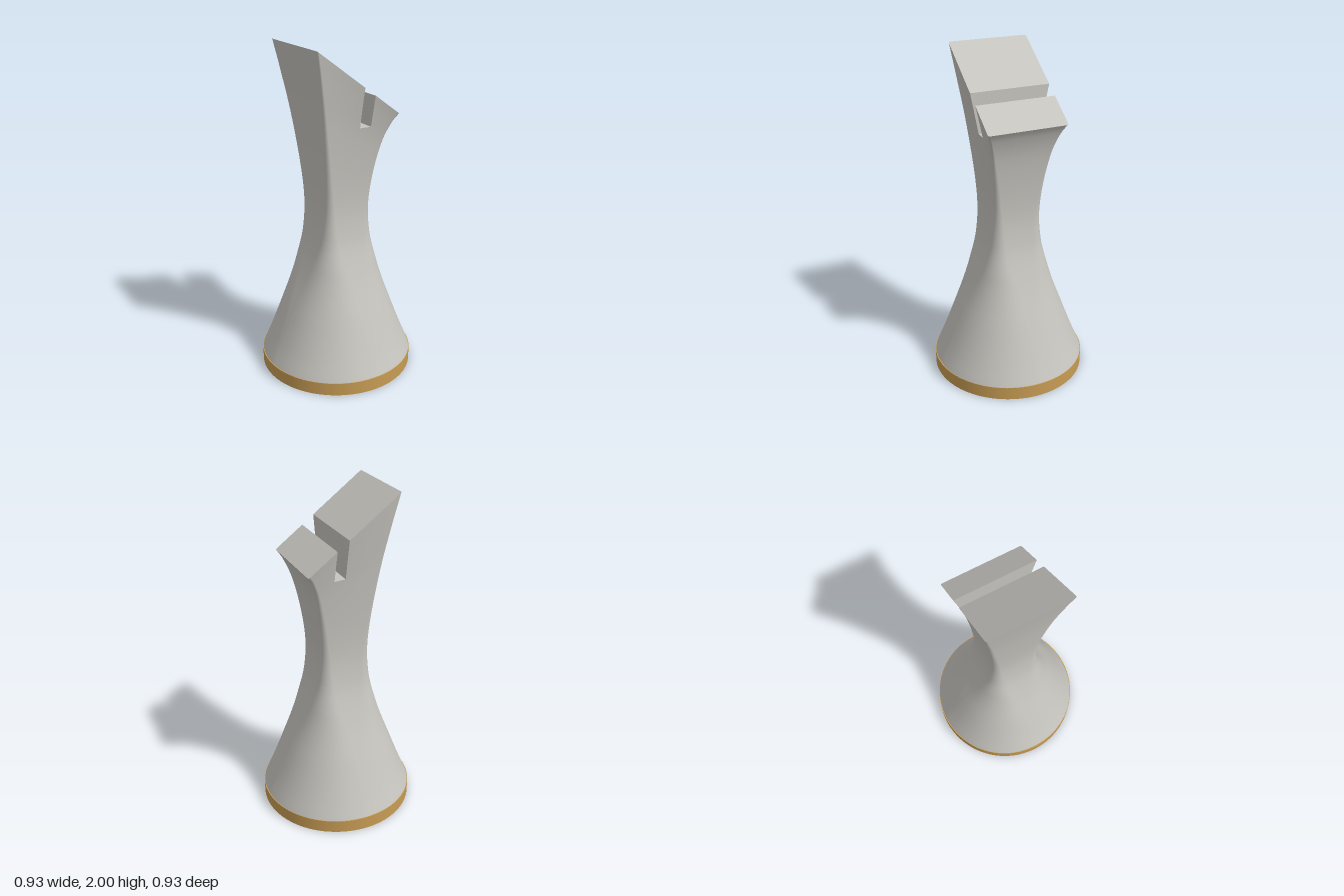
import * as THREE from 'three';

const SLOT = { x0: 0.032, x1: 0.102, y: 1.54 };
const TOP_X = 0.27, RISE = 0.2;

// Profile points: height, half width, half depth
const profile = new THREE.CatmullRomCurve3([
  [0.08, 0.459, 0.459], [0.2, 0.407, 0.407], [0.4, 0.327, 0.327], [0.6, 0.246, 0.246],
  [0.8, 0.18, 0.18], [0.9, 0.161, 0.161], [1.03, 0.15, 0.15], [1.2, 0.157, 0.155],
  [1.5, 0.196, 0.188], [1.7, 0.241, 0.223], [1.8, 0.27, 0.243],
].map(p => new THREE.Vector3(...p)));

// Corner roundness by height: round foot to almost square head
const roundness = new THREE.CatmullRomCurve3([
  [0.08, 0.98], [0.4, 0.92], [0.6, 0.78], [0.8, 0.52], [1.03, 0.32], [1.4, 0.14], [1.8, 0.04],
].map(p => new THREE.Vector3(p[0], p[1], 0))).getPoints(200);
const roundAt = h => (roundness.find(p => p.x >= h - 1e-6) || roundness[200]).y;

// Sections tip over steadily towards the slanted head
const tilt = h => Math.max(0, (h - 0.7) / 1.1) ** 2 * RISE / TOP_X;

const ARC = 12, SIDE = 6;
function section({ x: h, y: w, z: d }) {
  const r = roundAt(h) * Math.min(w, d), pts = [];
  const corners = [[1, 1], [-1, 1], [-1, -1], [1, -1]].map(([sx, sz], q) =>
    Array.from({ length: ARC + 1 }, (_, i) => {
      const a = (q + i / ARC) * Math.PI / 2;
      return [sx * (w - r) + r * Math.cos(a), sz * (d - r) + r * Math.sin(a)];
    }));
  corners.forEach((c, q) => {
    pts.push(...c);
    const a = c[ARC], b = corners[(q + 1) % 4][0];
    for (let i = 1; i < SIDE; i++) {
      const t = i / SIDE;
      pts.push([a[0] + (b[0] - a[0]) * t, a[1] + (b[1] - a[1]) * t]);
    }
  });
  return pts.map(([x, z]) => new THREE.Vector3(x, h - tilt(h) * x, z));
}

// Keeps the part of a polygon where sign * (axis - value) >= 0
function clip(poly, axis, value, sign) {
  const out = [];
  poly.forEach((a, i) => {
    const b = poly[(i + 1) % poly.length];
    const da = sign * (a.p[axis] - value), db = sign * (b.p[axis] - value);
    if (da >= 0) out.push(a);
    if (da * db < 0) {
      const t = da / (da - db);
      out.push({ p: a.p.clone().lerp(b.p, t), n: a.n.clone().lerp(b.n, t).normalize() });
    }
  });
  return out;
}

// Removes the slot from an indexed surface
function cutSlot(geo) {
  const g = geo.toNonIndexed(), P = g.attributes.position, N = g.attributes.normal;
  const pos = [], nor = [];
  for (let i = 0; i < P.count; i += 3) {
    const tri = [0, 1, 2].map(k => ({
      p: new THREE.Vector3().fromBufferAttribute(P, i + k),
      n: new THREE.Vector3().fromBufferAttribute(N, i + k),
    }));
    const middle = clip(clip(tri, 'x', SLOT.x0, 1), 'x', SLOT.x1, -1);
    for (const poly of [clip(tri, 'x', SLOT.x0, -1), clip(tri, 'x', SLOT.x1, 1), clip(middle, 'y', SLOT.y, -1)]) {
      for (let k = 2; k < poly.length; k++) {
        for (const v of [poly[0], poly[k - 1], poly[k]]) {
          pos.push(...v.p.toArray());
          nor.push(...v.n.toArray());
        }
      }
    }
  }
  const out = new THREE.BufferGeometry();
  out.setAttribute('position', new THREE.Float32BufferAttribute(pos, 3));
  out.setAttribute('normal', new THREE.Float32BufferAttribute(nor, 3));
  return out;
}

function indexed(points, index) {
  const g = new THREE.BufferGeometry().setFromPoints(points);
  g.setIndex(index);
  g.computeVertexNormals();
  return g;
}

// Half depth of the body at a point on its flat front
const samples = profile.getPoints(400);
function depthAt(x, y) {
  return (samples.find(s => s.x - tilt(s.x) * x >= y) || samples[400]).z;
}

// Strip between the front and back faces along a path of [x, y]
function strip(path) {
  const pts = [], index = [];
  path.forEach(([x, y], i) => {
    const d = depthAt(x, y);
    pts.push(new THREE.Vector3(x, y, d), new THREE.Vector3(x, y, -d));
    if (i) {
      const k = 2 * i;
      index.push(k - 2, k, k - 1, k, k + 1, k - 1);
    }
  });
  return indexed(pts, index);
}

export function createModel() {
  const model = new THREE.Group();
  const stone = new THREE.MeshStandardMaterial({ color: 0xc6c4be });
  stone.name = 'pale grey';
  const wood = new THREE.MeshStandardMaterial({ color: 0xc79c54 });
  wood.name = 'golden wood';
  const add = (name, geo, mat) => {
    const mesh = new THREE.Mesh(geo, mat);
    mesh.name = name;
    model.add(mesh);
    return mesh;
  };

  // Round base disc
  add('base', new THREE.CylinderGeometry(0.465, 0.465, 0.08, 96), wood).position.y = 0.04;

  // Waisted body, round below and square above
  const rings = profile.getPoints(80).map(section), n = rings[0].length, index = [];
  for (let j = 0; j < rings.length - 1; j++) {
    for (let i = 0; i < n; i++) {
      const a = j * n + i, b = j * n + (i + 1) % n;
      index.push(a, a + n, b + n, a, b + n, b);
    }
  }
  add('body', cutSlot(indexed(rings.flat(), index)), stone);

  // Slanted flat head
  const top = rings[rings.length - 1], capIndex = [];
  for (let i = 0; i < n; i++) capIndex.push(n, (i + 1) % n, i);
  add('slantedTop', cutSlot(indexed([...top, new THREE.Vector3(0, 1.8, 0)], capIndex)), stone);

  // Slot walls and floor
  const wall = x => Array.from({ length: 13 }, (_, i) =>
    [x, SLOT.y + (1.8 - RISE / TOP_X * x - SLOT.y) * i / 12]);
  add('slotLeftWall', strip(wall(SLOT.x1)), stone);
  add('slotRightWall', strip(wall(SLOT.x0).reverse()), stone);
  add('slotFloor', strip([[SLOT.x0, SLOT.y], [SLOT.x1, SLOT.y]]), stone);
  return model;
}
